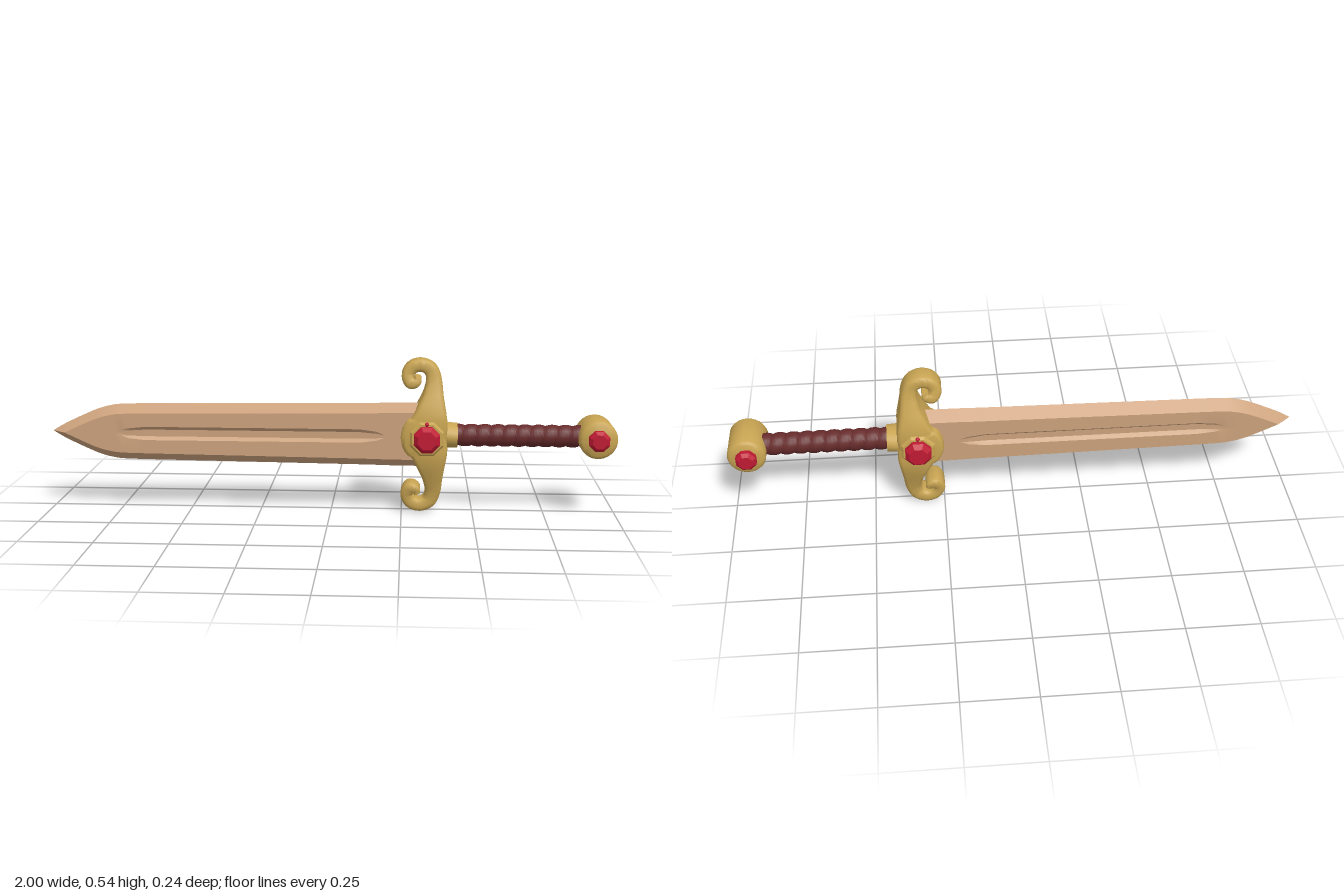
import * as THREE from 'three';
import { toCreasedNormals } from 'three/addons/utils/BufferGeometryUtils.js';

const MID = 0.283; // height of the sword's long axis

const mat = (name, color) => {
  const m = new THREE.MeshStandardMaterial({ color });
  m.name = name;
  return m;
};

// Skin a list of equal-length rings, closing both ends with fans.
// Rings run counter-clockwise when the path comes toward the viewer.
function loft(rings, crease) {
  const n = rings[0].length;
  const pos = [];
  const tri = (...pts) => pts.forEach((p) => pos.push(p.x, p.y, p.z));
  for (let i = 0; i < rings.length - 1; i++) {
    for (let j = 0; j < n; j++) {
      const k = (j + 1) % n;
      const [a, b, c, d] = [rings[i][j], rings[i][k], rings[i + 1][k], rings[i + 1][j]];
      tri(a, b, c);
      tri(a, c, d);
    }
  }
  [rings[0], rings[rings.length - 1]].forEach((ring, end) => {
    const mid = ring.reduce((s, p) => s.add(p), new THREE.Vector3()).divideScalar(n);
    ring.forEach((p, j) => {
      const q = ring[(j + 1) % n];
      if (end) tri(mid, p, q);
      else tri(mid, q, p);
    });
  });
  const geo = new THREE.BufferGeometry();
  geo.setAttribute('position', new THREE.Float32BufferAttribute(pos, 3));
  return toCreasedNormals(geo, crease);
}

// Solid of revolution about z, the same front and back; profile is [radius, z] from the middle out.
function turned(profile, sides, crease) {
  const half = profile.map(([r, z]) => new THREE.Vector2(r, z));
  const back = half.map((p) => new THREE.Vector2(p.x, -p.y)).reverse();
  const geo = new THREE.LatheGeometry([...back, ...half], sides, Math.PI / sides);
  geo.rotateX(Math.PI / 2);
  return toCreasedNormals(geo, crease);
}

// Blade: bevelled edges, a curved point and a shallow groove on both faces
function bladeGeometry() {
  const outline = [
    [-1, 0.0005], [-0.975, 0.016], [-0.95, 0.03], [-0.91, 0.049], [-0.875, 0.065],
    [-0.84, 0.08], [-0.805, 0.091], [-0.77, 0.098], [-0.745, 0.1], [-0.72, 0.101],
    [-0.66, 0.102], [0.1, 0.111], [0.16, 0.112], [0.19, 0.113], [0.33, 0.114],
  ];
  const rings = outline.map(([x, h]) => {
    const t = 0.041 * Math.min(1, h / 0.03);
    const flat = Math.max(h - 0.03, 0.0001);
    const inGroove = THREE.MathUtils.clamp(Math.min(x + 0.76, 0.19 - x) / 0.09, 0, 1);
    const g = Math.min(0.006 + 0.018 * Math.sqrt(inGroove), flat * 0.5);
    const depth = 0.012 * inGroove;
    const front = [
      [h, 0], [flat, t], [g, t], [g * 0.5, t - depth],
      [-g * 0.5, t - depth], [-g, t], [-flat, t], [-h, 0],
    ];
    const rear = front.slice(1, -1).reverse().map(([y, z]) => [y, -z]);
    return [...front, ...rear].map(([y, z]) => new THREE.Vector3(x, MID + y, z));
  });
  return loft(rings, 0.4);
}

// Guard: one swept bar that curls into a scroll at each end
function guardGeometry() {
  // x, height above the axis, half width
  const upper = [
    [0.345, 0.05, 0.066], [0.353, 0.1, 0.05], [0.359, 0.15, 0.035], [0.36, 0.2, 0.027],
    [0.347, 0.235, 0.024], [0.315, 0.25, 0.022], [0.283, 0.24, 0.022], [0.268, 0.212, 0.021],
    [0.28, 0.188, 0.02], [0.301, 0.193, 0.015], [0.305, 0.209, 0.01],
  ].map((p) => new THREE.Vector3(...p));
  const lower = upper.map((p) => new THREE.Vector3(p.x, -p.y, p.z)).reverse();
  const path = new THREE.CatmullRomCurve3([...lower, new THREE.Vector3(0.328, 0, 0.082), ...upper]);
  const count = 110;
  const rings = [];
  for (let i = 0; i <= count; i++) {
    const p = path.getPoint(i / count);
    const t = path.getTangent(i / count).setZ(0).normalize();
    const w = p.z;
    const d = 0.079 - 0.04 * THREE.MathUtils.smoothstep(Math.abs(p.y), 0.06, 0.245);
    const c = Math.min(0.014, w * 0.6);
    const ring = [];
    // rounded rectangle, three points to a corner
    for (let k = 0; k < 12; k++) {
      const quarter = Math.floor(k / 3);
      const a = (quarter + (k % 3) / 2) * Math.PI / 2;
      const sz = quarter === 0 || quarter === 3 ? 1 : -1;
      const sn = quarter < 2 ? 1 : -1;
      const z = sz * (d - c) + c * Math.cos(a);
      const n = sn * (w - c) + c * Math.sin(a);
      ring.push(new THREE.Vector3(p.x + t.y * n, MID + p.y - t.x * n, z));
    }
    rings.push(ring);
  }
  return loft(rings, 0.85);
}

// Grip: a rod with a helical leather wrap
function gripGeometry() {
  const rings = [];
  const sides = 20;
  for (let i = 0; i <= 108; i++) {
    const x = 0.42 + (i / 108) * 0.46;
    const ring = [];
    for (let j = 0; j < sides; j++) {
      const turn = j / sides;
      const f = x / 0.047 + turn;
      const r = 0.033 + 0.007 * Math.sqrt(Math.abs(Math.sin(Math.PI * f)));
      const a = turn * Math.PI * 2;
      ring.push(new THREE.Vector3(x, MID + r * Math.cos(a), r * Math.sin(a)));
    }
    rings.push(ring);
  }
  return loft(rings, 0.6);
}

export function createModel() {
  const wood = mat('pale wood', 0xcba17c);
  const gold = mat('gold', 0xc9a553);
  const leather = mat('dark red leather', 0x672b2b);
  const ruby = mat('ruby red', 0xbf1a33);

  const sword = new THREE.Group();
  sword.name = 'sword';
  const add = (name, geo, material, x = 0, y = 0, z = 0) => {
    const mesh = new THREE.Mesh(geo, material);
    mesh.name = name;
    mesh.position.set(x, y, z);
    sword.add(mesh);
    return mesh;
  };

  add('blade', bladeGeometry(), wood);
  add('guard', guardGeometry(), gold);
  add('grip', gripGeometry(), leather);

  // Collar between guard and grip, deeper than it is tall
  const collar = new THREE.CylinderGeometry(0.043, 0.046, 0.05, 20);
  collar.rotateZ(-Math.PI / 2);
  collar.scale(1, 1, 1.32);
  add('collar', toCreasedNormals(collar, 0.6), gold, 0.42, MID);

  // Setting and gem, showing on both faces of the guard
  add('guardGemSetting', turned([[0.064, 0], [0.064, 0.083], [0.056, 0.092], [0, 0.092]], 8, 0.1), gold, 0.337, MID);
  add('guardGem', turned([[0.049, 0], [0.049, 0.106], [0.034, 0.122], [0, 0.122]], 8, 0.1), ruby, 0.337, MID);
  for (const s of [1, -1]) {
    add('smallGem', new THREE.IcosahedronGeometry(0.008, 1), ruby, 0.337, MID + 0.052, s * 0.088);
  }

  // Pommel drum with a gem in each end
  add('pommel', turned([[0.067, 0], [0.067, 0.064], [0.063, 0.072], [0.055, 0.077], [0, 0.077]], 32, 0.6), gold, 0.931, MID);
  add('pommelGem', turned([[0.038, 0], [0.038, 0.094], [0.026, 0.105], [0, 0.105]], 8, 0.1), ruby, 0.931, MID);

  return sword;
}
